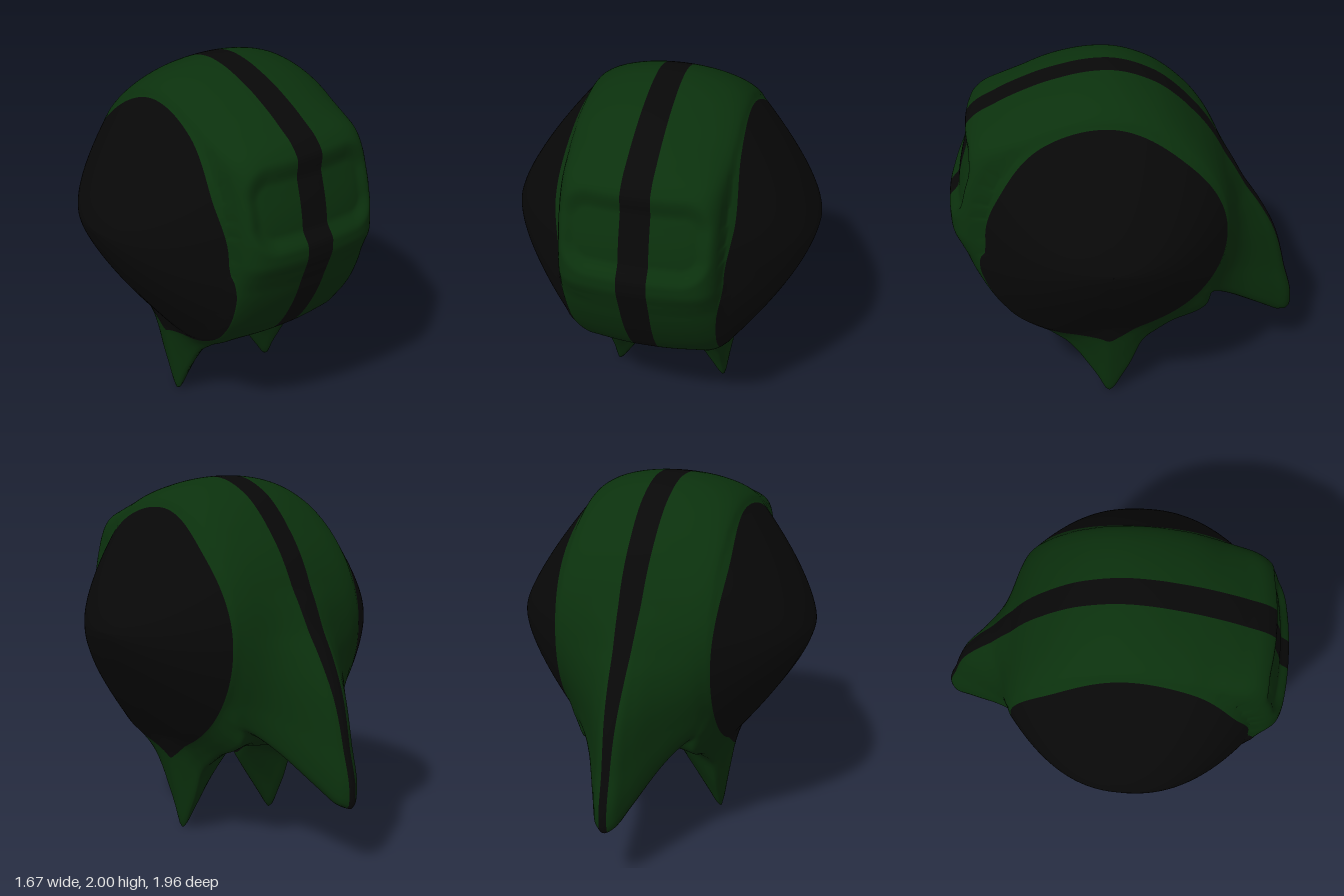
import * as THREE from 'three';

const CY = 1.2, CZ = 0.12;      // axis through the two side domes
const RIM = 0.43, APEX = 0.835; // where the domes start and end
const N = 360;

// smooth monotone curve through [position, value] pairs
function curve(p) {
  const d = p.slice(1).map((q, i) => (q[1] - p[i][1]) / (q[0] - p[i][0]));
  const m = p.map((_, i) => (i === 0 || i === d.length || d[i - 1] * d[i] <= 0)
    ? 0 : 2 * d[i - 1] * d[i] / (d[i - 1] + d[i]));
  return (x) => {
    if (x <= p[0][0]) return p[0][1];
    if (x >= p[p.length - 1][0]) return p[p.length - 1][1];
    let i = 0;
    while (x > p[i + 1][0]) i++;
    const h = p[i + 1][0] - p[i][0], t = (x - p[i][0]) / h, u = 1 - t;
    return p[i][1] * (1 + 2 * t) * u * u + p[i + 1][1] * (3 - 2 * t) * t * t
      + h * (m[i] * t * u * u - m[i + 1] * t * t * u);
  };
}

// radii by angle: 0 = front, 90 = top, 180 = back, 270 = bottom
const core = curve([[0, 0.862], [10, 0.868], [22, 0.88], [34, 0.9], [38, 0.895], [47, 0.856],
  [62, 0.815], [76, 0.8], [90, 0.8], [110, 0.77], [123.5, 0.735], [136, 0.707], [147, 0.695],
  [180, 0.68], [215, 0.68], [245, 0.67], [270, 0.67], [299, 0.78], [315, 0.815], [331, 0.81],
  [346, 0.82], [353, 0.838], [360, 0.862]]);
const dome = curve([[0, 0.67], [45, 0.69], [90, 0.655], [135, 0.635], [180, 0.645], [225, 0.65],
  [270, 0.66], [300, 0.72], [320, 0.725], [340, 0.7], [360, 0.67]]);
const tail = curve([[115, 0.6], [136, 0.695], [147, 0.695], [156.5, 0.7], [167, 0.735],
  [177, 0.787], [186.5, 0.885], [196, 1.01], [208, 1.185], [216, 1.36], [218.6, 1.395],
  [220.2, 1.36], [221.4, 1.225], [224.2, 1.004], [227.5, 0.885], [232, 0.82], [243, 0.76],
  [260, 0.64]]);
const foot = curve([[205, 0.6], [217, 0.72], [228, 0.81], [242, 0.78], [253, 0.816],
  [257.2, 0.856], [263.6, 1.02], [266.4, 1.1], [268.5, 1.17], [270, 1.2], [271.2, 1.18],
  [272.6, 1.12], [276, 1.02], [282.3, 0.895], [288, 0.835], [299, 0.79], [313, 0.78],
  [330, 0.68]]);
// strength of tail and feet across the width
const tailWidth = curve([[0, 1], [0.05, 0.95], [0.1, 0.78], [0.2, 0.42], [0.27, 0.24],
  [0.35, 0.1], [RIM, 0]]);
const footWidth = curve([[0, 0.08], [0.08, 0.34], [0.14, 0.52], [0.2, 0.69], [0.26, 0.86],
  [0.3, 0.97], [0.32, 1], [0.36, 0.62], [0.4, 0.2], [RIM, 0]]);
// how flat the face is across the width: 1 at the visor, 0 on the round body
const flatness = curve([[0, 1], [36, 1], [58, 0], [315, 0], [345, 0.4], [360, 1]]);
// colour borders
const rim = curve([[0, 0.44], [30, 0.475], [60, 0.45], [90, 0.435], [135, 0.465], [180, 0.44],
  [225, 0.43], [270, 0.4], [315, 0.395], [340, 0.41], [360, 0.44]]);
const stripe = curve([[0, 0.08], [90, 0.072], [150, 0.065], [185, 0.045], [212, 0.022],
  [222, 0.022], [240, 0.06], [300, 0.065], [360, 0.08]]);

// shallow rounded visor pressed into the front
function visor(x, y) {
  const qx = x - 0.41 + 0.17, qy = Math.abs(y - 1.475) - 0.235 + 0.17;
  const sd = Math.hypot(Math.max(qx, 0), Math.max(qy, 0)) + Math.min(Math.max(qx, qy), 0) - 0.17;
  return 0.05 * THREE.MathUtils.smoothstep(-sd, 0, 0.1);
}

// positive part with a soft bend at zero
const bulge = (e) => (e + Math.hypot(e, 0.025)) / 2;

function radius(deg, x) {
  const sin = Math.sin(deg * Math.PI / 180), cos = Math.cos(deg * Math.PI / 180);
  if (x >= RIM) {
    // elliptical dome, pointed from the front and rounder from above
    const u = Math.max(1e-6, (APEX - x) / (APEX - RIM));
    return dome(deg) / Math.hypot(cos / Math.pow(u, 0.46), sin / Math.pow(u, 0.74));
  }
  const q = x / RIM;
  const round = Math.pow(1 - q * q, 0.6);
  const flat = (1 - 0.25 * q * q) * Math.sqrt(1 - Math.pow(q, 10));
  const g = THREE.MathUtils.lerp(round, flat, flatness(deg));
  let r = dome(deg) + (core(deg) - dome(deg)) * g;
  r += tailWidth(x) * bulge(tail(deg) - r);
  r += footWidth(x) * bulge(foot(deg) - r);
  if (deg < 60) r -= visor(x, CY + r * sin);
  return r;
}

export function createModel() {
  const green = new THREE.MeshStandardMaterial({ color: 0x0b310d });
  green.name = 'dark green';
  const black = new THREE.MeshStandardMaterial({ color: 0x080808 });
  black.name = 'soft black';

  // rows from the middle to the dome tip: stripe, panel, dome
  const A = 4, B = 36, C = 30, H = A + B + C;
  const rowX = (k, deg) => {
    const s = stripe(deg), e = rim(deg);
    if (k <= A) return s * k / A;
    if (k <= A + B) return s + (e - s) * (k - A) / B;
    const v = 1 - (k - A - B) / C;
    return e + (APEX - e) * (1 - v * v);
  };
  const pos = [];
  for (let k = -H; k <= H; k++) {
    for (let j = 0; j < N; j++) {
      const deg = j * 360 / N, a = deg * Math.PI / 180;
      const x = rowX(Math.abs(k), deg), r = radius(deg, x);
      pos.push(Math.sign(k) * x, CY + r * Math.sin(a), CZ + r * Math.cos(a));
    }
  }
  const band = (from, to) => {
    const index = [];
    for (let i = from + H; i < to + H; i++) {
      for (let j = 0; j < N; j++) {
        const n = (j + 1) % N;
        const a = i * N + j, b = a + N, c = (i + 1) * N + n, d = i * N + n;
        index.push(a, b, c, a, c, d);
      }
    }
    return index;
  };

  // shared normals keep the shell smooth across the colour borders
  const shell = new THREE.BufferGeometry();
  shell.setAttribute('position', new THREE.Float32BufferAttribute(pos, 3));
  shell.setIndex(band(-H, H));
  shell.computeVertexNormals();

  const group = new THREE.Group();
  group.name = 'roundBody';
  const part = (name, from, to, material) => {
    const geo = new THREE.BufferGeometry();
    geo.setAttribute('position', shell.getAttribute('position'));
    geo.setAttribute('normal', shell.getAttribute('normal'));
    geo.setIndex(band(from, to));
    const mesh = new THREE.Mesh(geo, material);
    mesh.name = name;
    group.add(mesh);
  };
  part('rightDome', -H, -A - B, black);
  part('rightPanelWithFoot', -A - B, -A, green);
  part('centreStripe', -A, A, black);
  part('leftPanelWithFoot', A, A + B, green);
  part('leftDome', A + B, H, black);
  return group;
}
